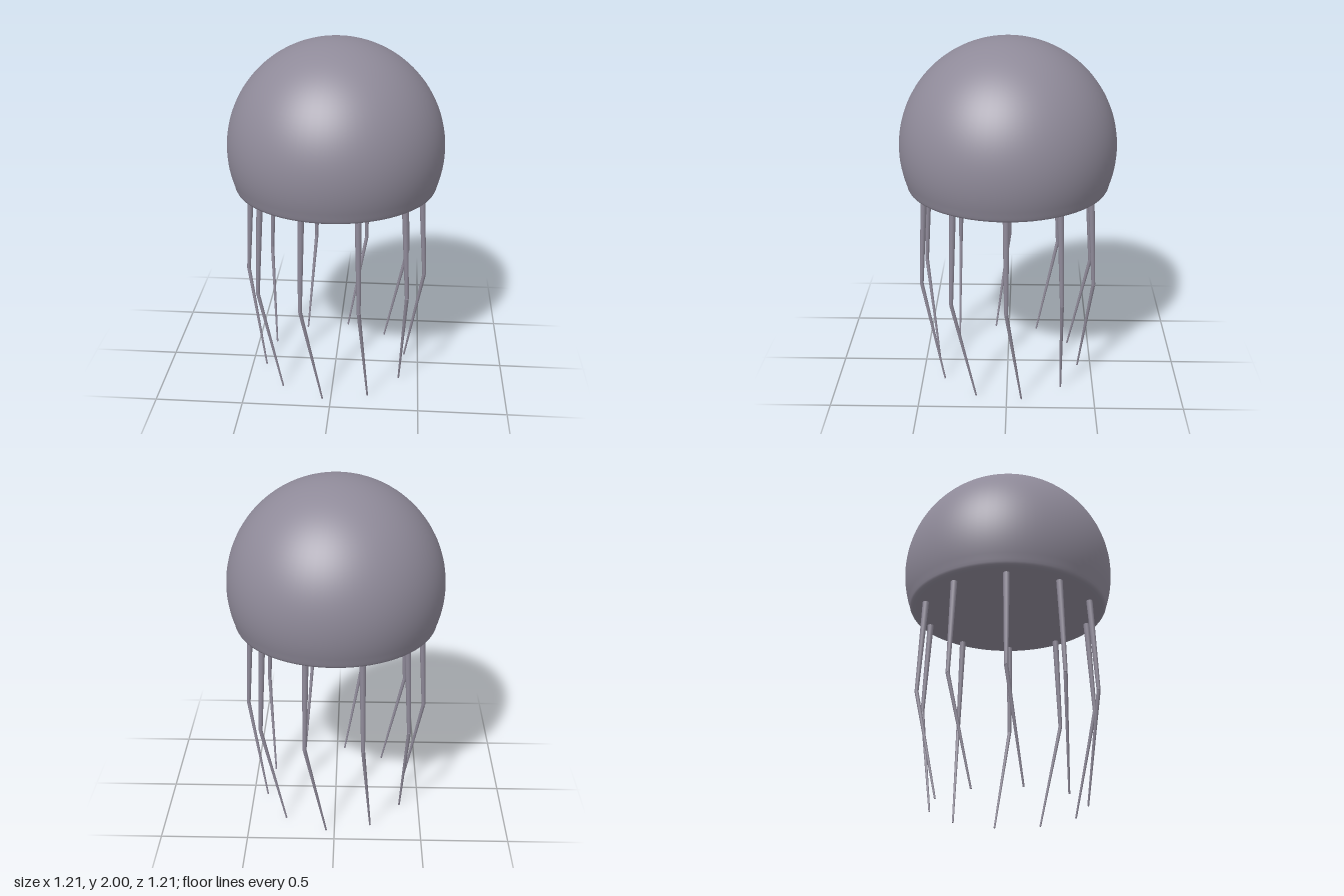
import * as THREE from 'three';

const COUNT = 10;          // tentacles around the bell
const SWIRL = -11.5;       // degrees the tips are twisted round the axis

// Point on a ring around the y axis
function ringPoint(degrees, radius, y) {
  const a = THREE.MathUtils.degToRad(degrees);
  return new THREE.Vector3(Math.cos(a) * radius, y, Math.sin(a) * radius);
}

// Tapered rod between two points
function rod(name, from, to, rFrom, rTo, material) {
  const dir = to.clone().sub(from);
  const mesh = new THREE.Mesh(new THREE.CylinderGeometry(rTo, rFrom, dir.length(), 8), material);
  mesh.name = name;
  mesh.position.copy(from).add(to).multiplyScalar(0.5);
  mesh.quaternion.setFromUnitVectors(new THREE.Vector3(0, 1, 0), dir.normalize());
  return mesh;
}

// Bell: a sphere cut off below its middle, with a small rounded rim
function makeBell(material) {
  const R = 0.604, cy = 1.396;
  const profile = [[0, 1.165], [0.3, 1.165], [0.53, 1.165], [0.55, 1.166], [0.562, 1.172], [0.568, 1.184]]
    .map(([x, y]) => new THREE.Vector2(x, y));
  const start = Math.asin((1.2 - cy) / R);
  const steps = 36;
  for (let i = 0; i <= steps; i++) {
    const a = THREE.MathUtils.lerp(start, Math.PI / 2, i / steps);
    profile.push(new THREE.Vector2(i === steps ? 0 : R * Math.cos(a), cy + R * Math.sin(a)));
  }
  const bell = new THREE.Mesh(new THREE.LatheGeometry(profile, 72), material);
  bell.name = 'bell';
  return bell;
}

export function createModel() {
  const model = new THREE.Group();
  model.name = 'jellyfish';
  const skin = new THREE.MeshStandardMaterial({ color: 0x8f8a99 });
  skin.name = 'mauve grey';

  model.add(makeBell(skin));

  // Tentacles: bowed outward to a knee, then swept inward and round
  for (let i = 0; i < COUNT; i++) {
    const angle = (i * 360) / COUNT;
    const top = ringPoint(angle, 0.487, 1.157);
    const knee = ringPoint(angle, 0.518, 0.61);
    const tip = ringPoint(angle + SWIRL, 0.424, 0.002);
    const tentacle = new THREE.Group();
    tentacle.name = `tentacle${i + 1}`;
    tentacle.add(
      rod('upperTentacle', knee, top, 0.011, 0.018, skin),
      rod('lowerTentacle', tip, knee, 0.005, 0.011, skin)
    );
    model.add(tentacle);
  }
  return model;
}
